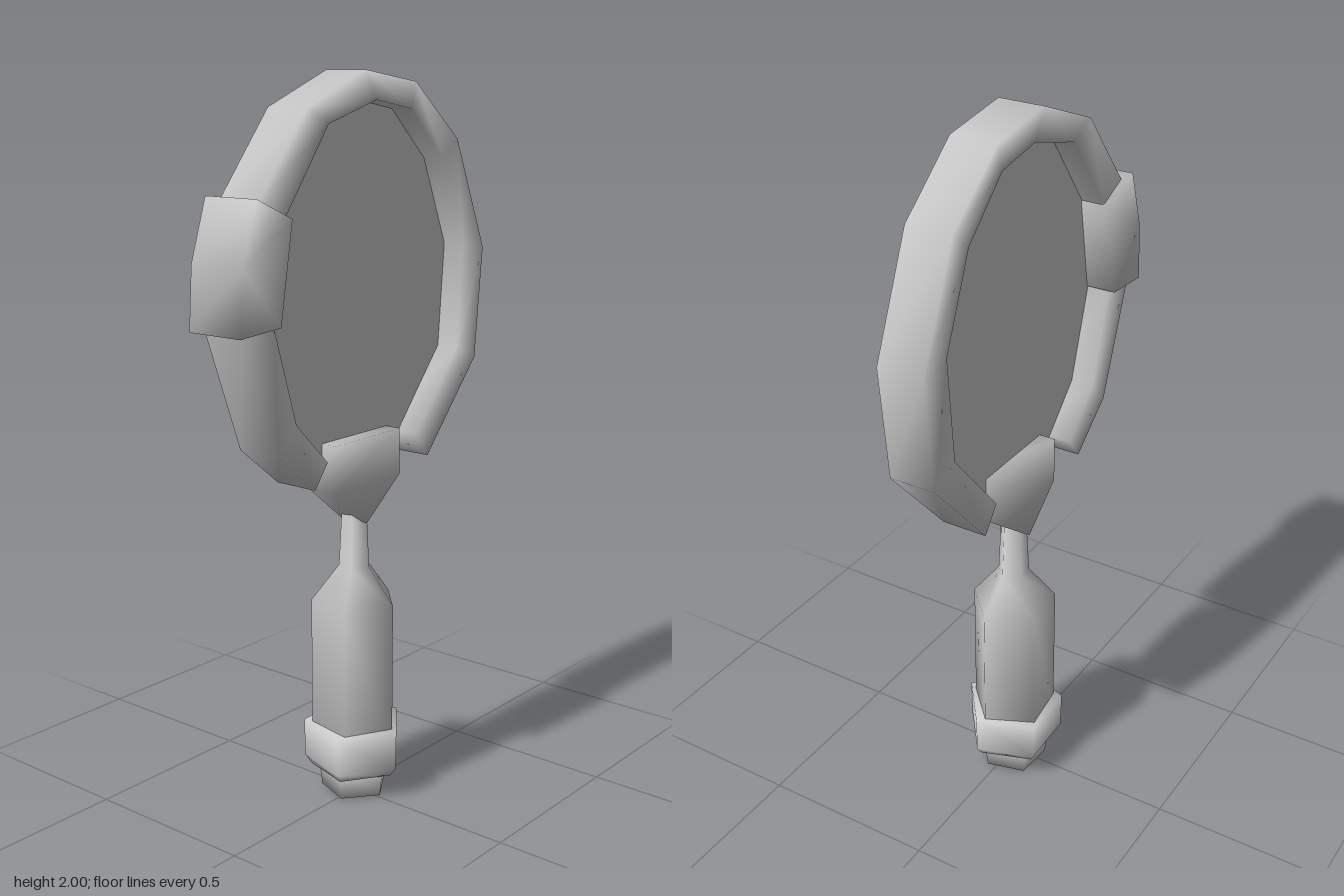
import * as THREE from 'three';
import { mergeVertices } from 'three/addons/utils/BufferGeometryUtils.js';

const MID_X = -0.01;

export function createModel() {
  const group = new THREE.Group();
  const material = new THREE.MeshStandardMaterial({ color: 0xcccccc, side: THREE.DoubleSide });
  const add = (name, geometry) => {
    const mesh = new THREE.Mesh(geometry, material);
    mesh.name = name;
    group.add(mesh);
    return mesh;
  };

  // Outline given as [z, y] pairs, turned into a shape lying in the z-y plane
  const outline = (pts) => new THREE.Shape(pts.map(([z, y]) => new THREE.Vector2(-z, y)));

  // Softly shaded slab with the given side outline, centred on MID_X
  const slab = (name, pts, width) => {
    let g = new THREE.ExtrudeGeometry(outline(pts), { depth: width, bevelEnabled: false });
    g.translate(0, 0, -width / 2).rotateY(Math.PI / 2).translate(MID_X, 0, 0);
    g.deleteAttribute('normal');
    g.deleteAttribute('uv');
    g = mergeVertices(g);
    g.computeVertexNormals();
    return add(name, g);
  };

  // Five-sided turned part; profile in [radius, y]
  const turned = (name, profile, twist) => {
    const pts = profile.map(([r, y]) => new THREE.Vector2(r, y));
    const g = new THREE.LatheGeometry(pts, 5, Math.PI / 2 + twist);
    const mesh = add(name, g);
    mesh.position.set(-0.01, 0, -0.012);
    return mesh;
  };

  // Open rim: outer and inner edge at each station, as [z, y]
  const outer = [[0.23, 0.945], [0.37, 1.06], [0.487, 1.38], [0.49, 1.54], [0.43, 1.69], [0.25, 1.91],
    [0.026, 2], [-0.185, 1.97], [-0.376, 1.815], [-0.507, 1.51], [-0.476, 1.195], [-0.254, 0.945]];
  const inner = [[0.18, 1.01], [0.3, 1.13], [0.38, 1.39], [0.38, 1.52], [0.335, 1.65], [0.17, 1.87],
    [-0.02, 1.925], [-0.165, 1.9], [-0.31, 1.765], [-0.41, 1.525], [-0.386, 1.235], [-0.2, 1.015]];
  const half = 0.065;
  const positions = [];
  const index = [];
  outer.forEach(([oz, oy], i) => {
    const [iz, iy] = inner[i];
    positions.push(MID_X + half, oy, oz, MID_X - half, oy, oz, MID_X - half, iy, iz, MID_X + half, iy, iz);
    if (i === outer.length - 1) return;
    for (let j = 0; j < 4; j++) {
      const a = i * 4 + j, b = i * 4 + (j + 1) % 4;
      index.push(a, a + 4, b, b, a + 4, b + 4);
    }
  });
  const e = (outer.length - 1) * 4;
  index.push(0, 1, 2, 0, 2, 3, e, e + 2, e + 1, e, e + 3, e + 2);
  const rim = new THREE.BufferGeometry();
  rim.setAttribute('position', new THREE.Float32BufferAttribute(positions, 3));
  rim.setIndex(index);
  rim.computeVertexNormals();
  add('rim', rim);

  // Thin pane filling the rim, closed across the bottom gap
  const pane = new THREE.ShapeGeometry(outline([...inner, [-0.1, 0.97], [0.1, 0.97]]));
  pane.rotateY(Math.PI / 2).translate(MID_X, 0, 0);
  add('pane', pane);

  // Clamp around the front of the rim
  slab('clamp', [[0.455, 1.705], [0.33, 1.65], [0.375, 1.39], [0.52, 1.38], [0.508, 1.545]], 0.17);

  // Pointed bracket joining pane and handle
  slab('bracket', [[0.127, 1.04], [-0.148, 1.04], [-0.148, 0.91], [-0.005, 0.8], [0.127, 0.91]], 0.095);

  // Handle with neck, collar and foot
  turned('handle', [[0, 0.15], [0.122, 0.15], [0.122, 0.57], [0.045, 0.67], [0.037, 0.83], [0, 0.83]], 0.13);
  turned('collar', [[0, 0.07], [0.125, 0.07], [0.143, 0.095], [0.145, 0.205], [0, 0.205]], 0.03);
  turned('foot', [[0, 0], [0.095, 0.003], [0.106, 0.09], [0, 0.09]], -0.06);

  return group;
}
